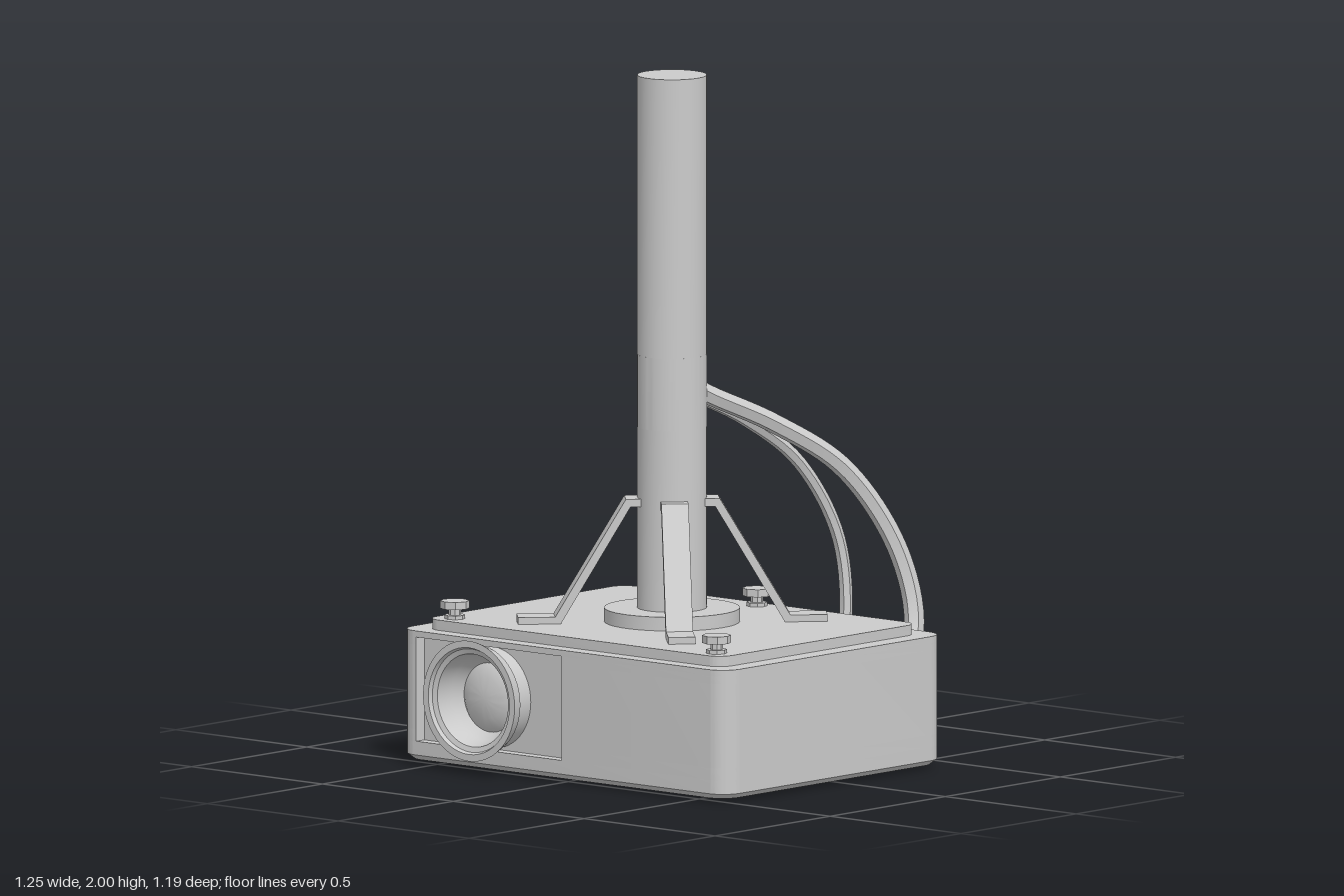
import * as THREE from 'three';
import { toCreasedNormals } from 'three/addons/utils/BufferGeometryUtils.js';

const mat = new THREE.MeshStandardMaterial({ color: 0xcccccc, side: THREE.DoubleSide });
const POLE_Z = 0.05;

function add(parent, name, geo, x = 0, y = 0, z = 0) {
  const m = new THREE.Mesh(geo, mat);
  m.name = name;
  m.position.set(x, y, z);
  parent.add(m);
  return m;
}

const box = (w, h, d) => new THREE.BoxGeometry(w, h, d);
const cyl = (r, h, n = 32) => toCreasedNormals(new THREE.CylinderGeometry(r, r, h, n), 0.6);

// Plan outline (shape y = -z) with rounded corners and notches [x0, x1, depth] cut in front and back
function plan(hw, front, back, r, frontCuts = [], backCuts = []) {
  const s = new THREE.Shape();
  const x = hw - r;
  s.moveTo(-x, -front);
  for (const [a, b, d] of frontCuts) {
    s.lineTo(a, -front); s.lineTo(a, d - front); s.lineTo(b, d - front); s.lineTo(b, -front);
  }
  s.absarc(x, r - front, r, -Math.PI / 2, 0, false);
  s.absarc(x, back - r, r, 0, Math.PI / 2, false);
  for (const [a, b, d] of backCuts) {
    s.lineTo(b, back); s.lineTo(b, back - d); s.lineTo(a, back - d); s.lineTo(a, back);
  }
  s.absarc(-x, back - r, r, Math.PI / 2, Math.PI, false);
  s.absarc(-x, r - front, r, Math.PI, Math.PI * 1.5, false);
  return s;
}

function slab(shape, y0, y1) {
  const g = new THREE.ExtrudeGeometry(shape, { depth: y1 - y0, bevelEnabled: false, curveSegments: 8 });
  g.rotateX(-Math.PI / 2);
  g.translate(0, y0, 0);
  return g;
}

function rectHole(shape, x0, x1, z0, z1) {
  const h = new THREE.Path();
  h.moveTo(x0, -z0); h.lineTo(x1, -z0); h.lineTo(x1, -z1); h.lineTo(x0, -z1); h.closePath();
  shape.holes.push(h);
  return shape;
}

function makeBody() {
  const g = new THREE.Group();
  g.name = 'body';
  const frontRecess = [[-0.555, 0, 0.035]];
  const backRecess = [[0.02, 0.555, 0.035]];
  const vents = [0, 1, 2, 3, 4].map(i => [-0.175 - i * 0.063, -0.148 - i * 0.063, 0.03]);
  const layer = (name, y0, y1, f, b, pocket) => {
    const s = plan(0.625, 0.53, 0.43, 0.065, f, b);
    if (pocket) rectHole(s, -0.5, -0.15, 0.1, 0.42);
    return add(g, name, toCreasedNormals(slab(s, y0, y1), 0.5));
  };
  // Bottom edge is pulled inward to form a chamfer
  const base = slab(rectHole(plan(0.625, 0.53, 0.43, 0.065), -0.5, -0.15, 0.1, 0.42), 0.01, 0.025);
  const p = base.attributes.position;
  for (let i = 0; i < p.count; i++) {
    const x = p.getX(i), z = p.getZ(i) - POLE_Z;
    if (p.getY(i) < 0.015 && (Math.abs(x) > 0.54 || Math.abs(z) > 0.4)) {
      p.setX(i, x * 0.976);
      p.setZ(i, z * 0.97 + POLE_Z);
    }
  }
  base.computeVertexNormals();
  add(g, 'baseChamfer', toCreasedNormals(base, 0.5));
  layer('lowerShell', 0.025, 0.065, [], [], true);
  layer('recessShell', 0.065, 0.1, frontRecess, backRecess, true);
  layer('ventShell', 0.1, 0.345, frontRecess, [...backRecess, ...vents]);
  layer('recessShellTop', 0.345, 0.367, frontRecess, backRecess);
  layer('lid', 0.367, 0.385);
  add(g, 'topPlate', toCreasedNormals(slab(plan(0.565, 0.48, 0.38, 0.05), 0.385, 0.415), 0.5));

  // Raised staggered grille under the body
  for (let r = 0; r < 4; r++) {
    const z = 0.13 + r * 0.085;
    for (let c = 0; c < 2; c++) {
      const x = 0.18 + c * 0.15 + (r % 2) * 0.03;
      add(g, 'grilleBar', box(0.11, 0.012, 0.012), x, 0.006, z);
      if (r < 3) add(g, 'grilleRib', box(0.012, 0.012, 0.06), x + 0.02, 0.006, z + 0.035);
    }
  }
  // Port column in the back recess
  for (let i = 0; i < 4; i++) {
    const s = plan(0.055, 0.022, 0.022, 0.015);
    s.holes.push(plan(0.043, 0.012, 0.012, 0.008));
    const port = new THREE.ExtrudeGeometry(s, { depth: 0.018, bevelEnabled: false, curveSegments: 4 });
    add(g, 'port', port, 0.1, 0.13 + i * 0.062, -0.411);
  }
  return g;
}

function makeLens() {
  const g = new THREE.Group();
  g.name = 'lens';
  const lathe = pts => toCreasedNormals(
    new THREE.LatheGeometry(pts.map(q => new THREE.Vector2(...q)), 48).rotateX(Math.PI / 2), 0.5);
  add(g, 'lensBarrel', lathe([[0.147, 0.49], [0.147, 0.555], [0.16, 0.555], [0.175, 0.597],
    [0.155, 0.597], [0.15, 0.585], [0.135, 0.58], [0.122, 0.53], [0.1, 0.503]]));
  add(g, 'lensGlass', lathe([[0.105, 0.5], [0.09, 0.512], [0.06, 0.522], [0.03, 0.528], [0, 0.53]]));
  g.position.set(-0.295, 0.215, 0);
  return g;
}

function makePole() {
  const g = new THREE.Group();
  g.name = 'pole';
  add(g, 'flange', cyl(0.195, 0.04, 48), 0, 0.435, 0);
  add(g, 'lowerPole', cyl(0.1, 0.53), 0, 0.715, 0);
  add(g, 'upperPole', cyl(0.1, 0.81), 0, 1.595, 0);
  // C-shaped wall around the cable opening at the back
  const s = new THREE.Shape();
  const a = 0.795;
  s.absarc(0, 0, 0.1, Math.PI / 2 + a, Math.PI * 2.5 - a, false);
  s.absarc(0, 0, 0.085, Math.PI * 2.5 - a, Math.PI / 2 + a, true);
  s.closePath();
  const wall = new THREE.ExtrudeGeometry(s, { depth: 0.21, bevelEnabled: false, curveSegments: 28 });
  add(g, 'cableOpeningWall', toCreasedNormals(wall.rotateX(-Math.PI / 2), 0.5), 0, 0.98, 0);

  // Four bent straps bracing the pole
  const strap = new THREE.Shape([[0.445, 0.415], [0.445, 0.435], [0.338, 0.435], [0.135, 0.775],
    [0.085, 0.775], [0.085, 0.752], [0.122, 0.752], [0.322, 0.415]].map(q => new THREE.Vector2(...q)));
  const strapGeo = new THREE.ExtrudeGeometry(strap, { depth: 0.078, bevelEnabled: false });
  strapGeo.translate(0, 0, -0.039);
  for (let i = 0; i < 4; i++) {
    add(g, 'braceStrap', strapGeo).rotation.y = Math.PI / 4 + i * Math.PI / 2;
  }
  g.position.z = POLE_Z;
  return g;
}

function makeScrew(x, z) {
  const g = new THREE.Group();
  g.name = 'thumbScrew';
  const oct = (r, h) => new THREE.CylinderGeometry(r, r, h, 8).toNonIndexed();
  for (const [name, r, h, y] of [['screwWasher', 0.03, 0.012, 0.42], ['screwStem', 0.018, 0.035, 0.434],
    ['screwHead', 0.042, 0.022, 0.456]]) {
    add(g, name, toCreasedNormals(oct(r, h), 0.3), 0, y, 0);
  }
  g.position.set(x, 0, z);
  return g;
}

function makeCable(name, pts, r) {
  const curve = new THREE.CatmullRomCurve3(pts.map(q => new THREE.Vector3(...q)));
  const g = new THREE.Group();
  g.name = name;
  add(g, 'cableSleeve', toCreasedNormals(new THREE.TubeGeometry(curve, 40, r, 6), 0.5));
  return g;
}

export function createModel() {
  const model = new THREE.Group();
  model.name = 'ceilingProjector';
  model.add(makeBody(), makeLens(), makePole());
  for (const [x, z] of [[-0.5, 0.425], [0.5, 0.425], [-0.01, -0.33]]) model.add(makeScrew(x, z));

  // Cables from the pole opening down to the back sockets
  const thick = makeCable('thickCable', [[0.02, 1.12, 0.04], [0.05, 1.07, -0.04], [0.13, 0.97, -0.24],
    [0.23, 0.83, -0.43], [0.32, 0.62, -0.545], [0.38, 0.43, -0.565], [0.41, 0.325, -0.52], [0.415, 0.3, -0.4]], 0.029);
  add(thick, 'plug', box(0.085, 0.055, 0.05), 0.415, 0.3, -0.415);
  const thin = makeCable('thinCable', [[-0.02, 1.12, 0.04], [-0.02, 1.07, -0.04], [0.02, 0.97, -0.24],
    [0.06, 0.83, -0.43], [0.1, 0.62, -0.55], [0.12, 0.42, -0.57], [0.13, 0.25, -0.53], [0.13, 0.2, -0.47], [0.13, 0.195, -0.4]], 0.019);
  add(thin, 'plug', box(0.075, 0.035, 0.05), 0.125, 0.195, -0.415);
  model.add(thick, thin);
  return model;
}
